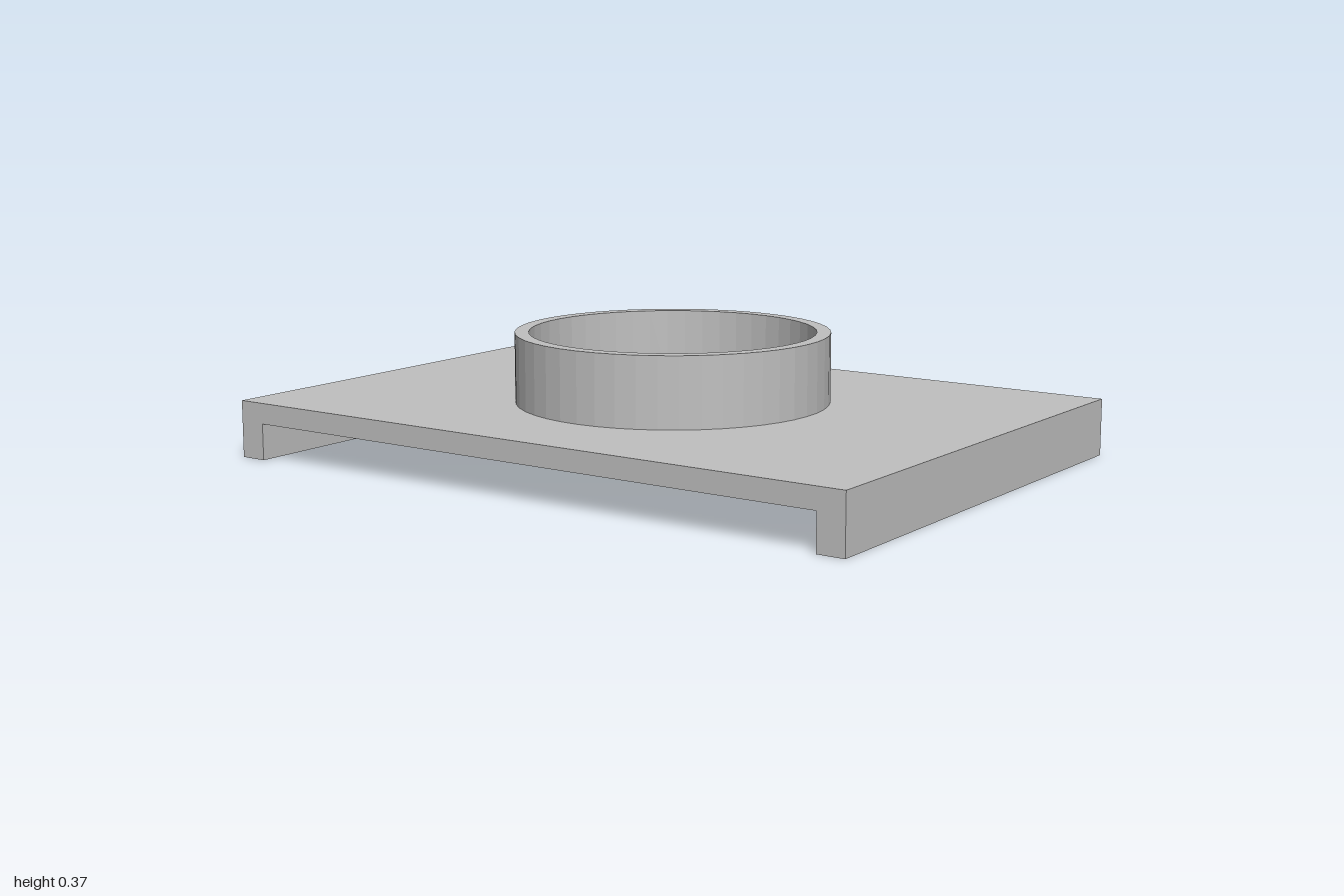
import * as THREE from 'three';

export function createModel() {
  const group = new THREE.Group();
  const grey = new THREE.MeshStandardMaterial({ color: 0xc0c0c0 });
  grey.name = 'grey';
  grey.flatShading = true;

  const add = (name, geometry) => {
    const mesh = new THREE.Mesh(geometry, grey);
    mesh.name = name;
    group.add(mesh);
  };

  // Plate with a downturned rail on each side, as one channel section
  const depth = 1.44;
  const section = new THREE.Shape([
    [-1, 0], [-0.92, 0], [-0.92, 0.105], [0.92, 0.105],
    [0.92, 0], [1, 0], [1, 0.165], [-1, 0.165],
  ].map(([x, y]) => new THREE.Vector2(x, y)));
  const base = new THREE.ExtrudeGeometry(section, { depth, bevelEnabled: false });
  base.translate(0, 0, -depth / 2);
  add('basePlate', base);

  // Thin-walled round collar standing on the plate
  const ring = new THREE.Shape().absarc(0, 0, 0.45, 0, Math.PI * 2, false);
  ring.holes.push(new THREE.Path().absarc(0, 0, 0.41, 0, Math.PI * 2, true));
  const collar = new THREE.ExtrudeGeometry(ring, { depth: 0.2, bevelEnabled: false, curveSegments: 24 });
  collar.rotateX(-Math.PI / 2);
  collar.translate(0, 0.165, 0);
  add('collar', collar);

  return group;
}
